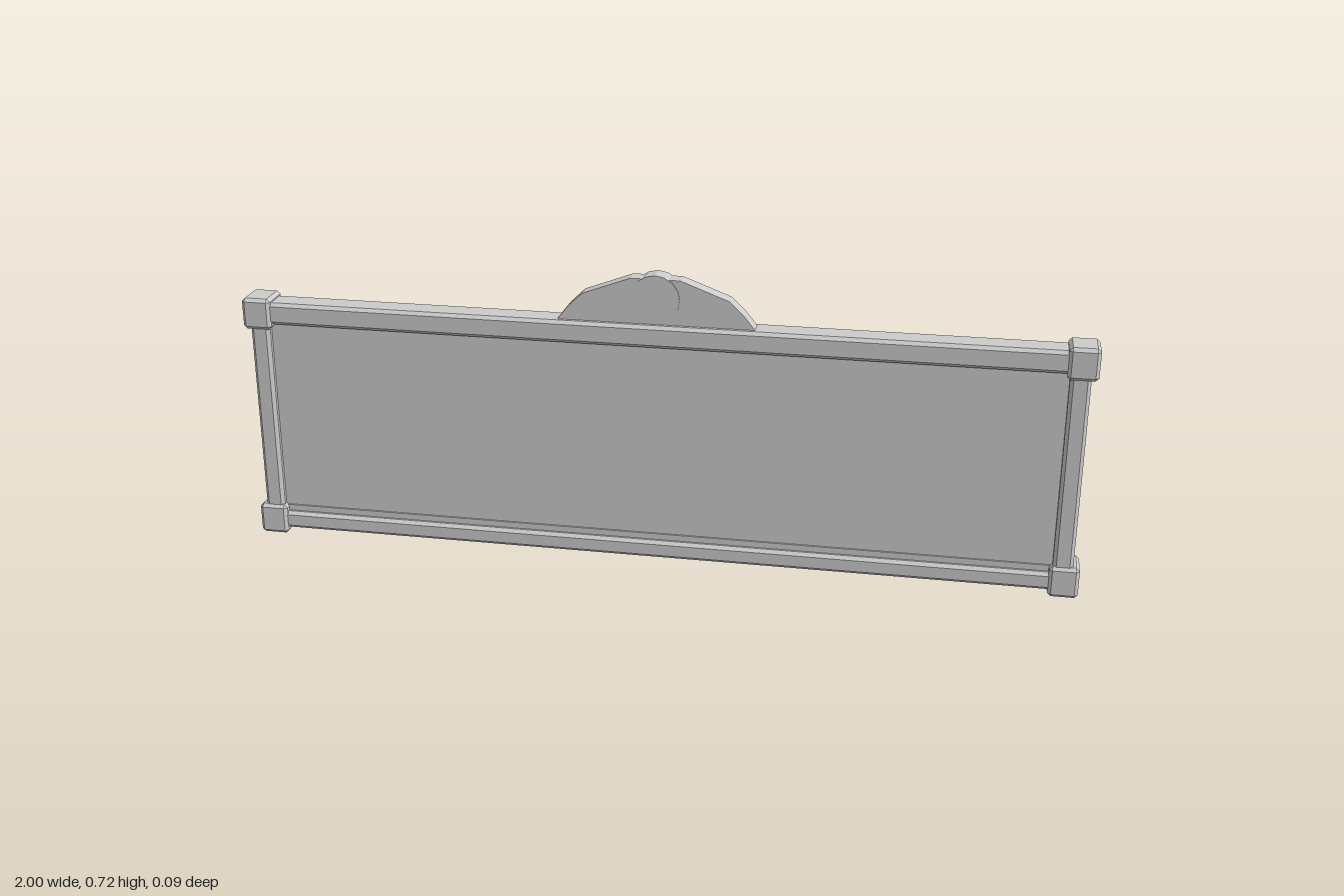
import * as THREE from 'three';
import { ConvexGeometry } from 'three/addons/geometries/ConvexGeometry.js';

const grey = new THREE.MeshStandardMaterial({ color: 0xcccccc });
grey.name = 'grey metal';
const MID = 0.006; // depth of the frame's centre plane

// Box with every edge chamfered by c
function chamferBox(w, h, d, c) {
  const half = [w / 2, h / 2, d / 2];
  const points = [];
  for (const sx of [-1, 1]) for (const sy of [-1, 1]) for (const sz of [-1, 1]) {
    for (let face = 0; face < 3; face++) {
      const p = half.map((v, i) => (i === face ? v : v - c));
      points.push(new THREE.Vector3(p[0] * sx, p[1] * sy, p[2] * sz));
    }
  }
  return new ConvexGeometry(points);
}

export function createModel() {
  const model = new THREE.Group();
  model.name = 'signBoard';

  function add(name, geometry, x, y, z) {
    const mesh = new THREE.Mesh(geometry, grey);
    mesh.name = name;
    mesh.position.set(x, y, z);
    model.add(mesh);
    return mesh;
  }

  // Faceted stud facing the back
  function stud(name, radius, depth, x, y, z) {
    const geometry = new THREE.OctahedronGeometry(radius);
    geometry.scale(1, 1, depth / radius);
    add(name, geometry, x, y, z);
  }

  // Board and the lip along its lower edge
  add('panel', new THREE.BoxGeometry(1.9, 0.52, 0.036), 0, 0.31, MID);
  add('panelLip', new THREE.BoxGeometry(1.9, 0.02, 0.044), 0, 0.064, MID);

  // Frame rails
  add('topRail', chamferBox(1.92, 0.054, 0.07, 0.008), 0, 0.578, MID);
  add('bottomRail', chamferBox(1.92, 0.044, 0.07, 0.008), 0, 0.037, MID);
  for (const side of [-1, 1]) {
    add('sideRail', chamferBox(0.047, 0.54, 0.07, 0.008), side * 0.961, 0.308, MID);

    // Corner blocks with their studs
    for (const y of [0.04, 0.577]) {
      add('cornerBlock', chamferBox(0.07, 0.077, 0.084, 0.008), side * 0.965, y === 0.04 ? 0.0395 : y, MID);
      stud('cornerStud', 0.011, 0.011, side * 0.965, y, -0.036);
    }

    // Small studs along the top rail
    for (const x of [0.233, 0.467, 0.7]) {
      stud('railStud', 0.008, 0.008, side * x, 0.58, -0.03);
    }
  }

  // Crest plate above the top rail
  const outline = [[-0.235, 0.595], [-0.232, 0.604], [-0.205, 0.638], [-0.172, 0.67], [-0.058, 0.713],
    [0.058, 0.713], [0.172, 0.67], [0.205, 0.638], [0.232, 0.604], [0.235, 0.595]];
  const crestShape = new THREE.Shape(outline.map(([x, y]) => new THREE.Vector2(x, y)));
  add('crest', new THREE.ExtrudeGeometry(crestShape, { depth: 0.038, bevelEnabled: false }), 0, 0, -0.013);

  // Round boss: flat disc in front, raised ring behind
  const disc = new THREE.CylinderGeometry(0.057, 0.057, 0.03, 16).rotateX(Math.PI / 2).toNonIndexed();
  disc.computeVertexNormals();
  add('bossDisc', disc, 0, 0.666, 0.013);
  const ringShape = new THREE.Shape().absarc(0, 0, 0.057, 0, Math.PI * 2);
  ringShape.holes.push(new THREE.Path().absarc(0, 0, 0.038, 0, Math.PI * 2, true));
  add('bossRing', new THREE.ExtrudeGeometry(ringShape, { depth: 0.02, bevelEnabled: false, curveSegments: 8 }),
    0, 0.666, -0.017);
  stud('bossStud', 0.018, 0.012, 0, 0.668, -0.013);

  return model;
}
